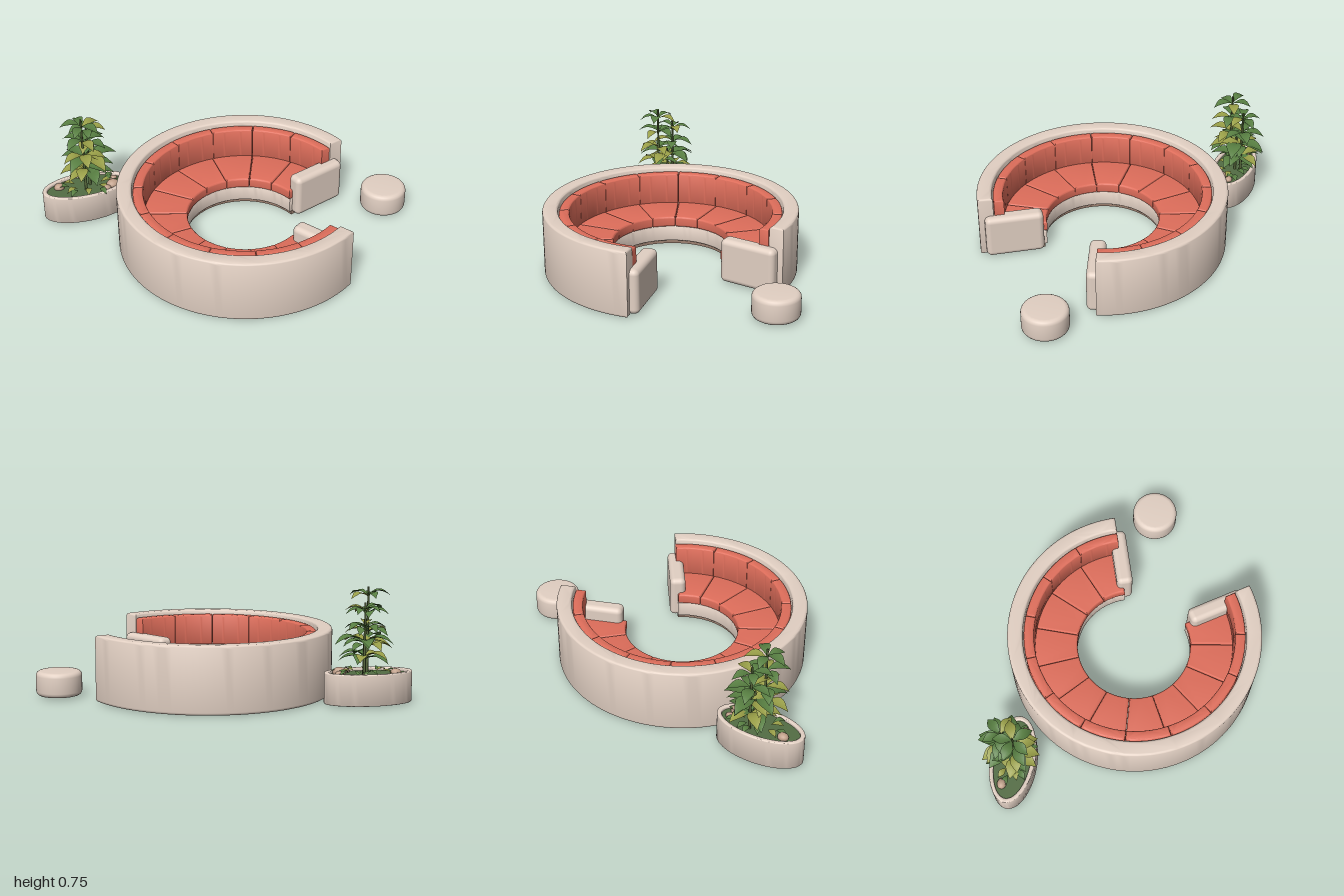
import * as THREE from 'three';
import { toCreasedNormals } from 'three/addons/utils/BufferGeometryUtils.js';
import { RoundedBoxGeometry } from 'three/addons/geometries/RoundedBoxGeometry.js';

const rad = THREE.MathUtils.degToRad;

function material(name, color, side = THREE.FrontSide) {
  const m = new THREE.MeshStandardMaterial({ color, side });
  m.name = name;
  return m;
}

// Plan outline (x, z) raised from y0 to y1 with rounded edges
function slab(shape, y0, y1, bevel, curveSegments = 12) {
  const g = new THREE.ExtrudeGeometry(shape, {
    depth: y1 - y0 - 2 * bevel, curveSegments, bevelEnabled: bevel > 0,
    bevelSize: bevel, bevelThickness: bevel, bevelOffset: -bevel, bevelSegments: 4,
  });
  g.rotateX(Math.PI / 2);
  g.translate(0, y1 - bevel, 0);
  return toCreasedNormals(g, 0.7);
}

// Ring sector; angles run from +x towards +z
function sector(r0, r1, a0, a1) {
  const s = new THREE.Shape();
  s.absarc(0, 0, r1, a0, a1, false);
  s.absarc(0, 0, r0, a1, a0, true);
  s.closePath();
  return s;
}

function ellipse(a, b, Kind = THREE.Shape) {
  const s = new Kind();
  s.absellipse(0, 0, a, b, 0, Math.PI * 2, false, 0);
  return s;
}

// Arched, broad, pointed leaf of unit length along +x with a creased midrib
function leafGeometry() {
  const pos = [], index = [], n = 8;
  for (let i = 0; i <= n; i++) {
    const u = i / n;
    const w = 0.25 * Math.pow(Math.sin(Math.PI * Math.pow(u, 1.1)), 1.2) + 0.015 * (1 - u);
    const y = 0.7 * u - 0.75 * u * u;
    pos.push(u, y + w * 0.3, -w, u, y, 0, u, y + w * 0.3, w);
    if (i < n) {
      for (let j = 0; j < 2; j++) {
        const a = i * 3 + j;
        index.push(a, a + 1, a + 3, a + 1, a + 4, a + 3);
      }
    }
  }
  const g = new THREE.BufferGeometry();
  g.setAttribute('position', new THREE.Float32BufferAttribute(pos, 3));
  g.setIndex(index);
  g.computeVertexNormals();
  return g;
}

export function createModel() {
  const model = new THREE.Group();
  const shell = material('warm beige', 0xe2d0c3);
  const coral = material('coral upholstery', 0xdf6e5b);
  const brown = material('brown plinth', 0x9c8070);
  const moss = material('moss green', 0x546e44);
  const stone = material('pebble tan', 0xc0a08a);
  const stemGreen = material('stem green', 0x55663a);
  const darkLeaf = material('dark leaf', 0x587f42, THREE.DoubleSide);
  const paleLeaf = material('olive leaf', 0x9aa048, THREE.DoubleSide);

  function add(parent, name, geometry, mat, x = 0, y = 0, z = 0) {
    const m = new THREE.Mesh(geometry, mat);
    m.name = name;
    m.position.set(x, y, z);
    parent.add(m);
    return m;
  }

  // Curved sofa, open towards the front left
  const sofa = new THREE.Group();
  sofa.name = 'sofa';
  sofa.position.set(-0.098, 0, 0.149);
  model.add(sofa);
  const start = rad(78), end = rad(362.6), count = 12;
  const step = (end - start) / count;
  add(sofa, 'backShell', slab(sector(0.735, 0.836, start, end), 0.004, 0.44, 0.018, 48), shell);
  add(sofa, 'seatBase', slab(sector(0.385, 0.74, start, end), 0.025, 0.132, 0.008, 48), shell);
  add(sofa, 'plinth', slab(sector(0.40, 0.745, start, end), 0, 0.03, 0, 48), brown);

  // Twelve seat and back cushions
  const half = step / 2;
  const seat = slab(sector(0.38, 0.728, -half + 0.003, half - 0.003), 0.13, 0.203, 0.014);
  const back = slab(sector(0.662, 0.729, -half + 0.002, half - 0.002), 0.195, 0.415, 0.014);
  for (let i = 0; i < count; i++) {
    const turn = -(start + step * (i + 0.5));
    add(sofa, 'seatCushion', seat, coral).rotation.y = turn;
    add(sofa, 'backCushion', back, coral).rotation.y = turn;
  }

  // Arm slabs closing both ends
  const arm = new RoundedBoxGeometry(0.39, 0.295, 0.108, 5, 0.035);
  for (const [name, a] of [['leftArm', rad(3.4)], ['frontArm', rad(78)]]) {
    add(sofa, name, arm, shell, 0.603 * Math.cos(a), 0.158, 0.603 * Math.sin(a)).rotation.y = -a;
  }

  // Round ottoman
  const drum = new THREE.Shape();
  drum.absarc(0, 0, 0.152, 0, Math.PI * 2, false);
  add(model, 'ottoman', slab(drum, 0.01, 0.172, 0.03, 28), shell, 0.847, 0, 0.499);

  // Oval planter
  const planter = new THREE.Group();
  planter.name = 'planter';
  planter.position.set(-0.721, 0, -0.787);
  planter.rotation.y = -rad(21);
  model.add(planter);
  const wall = ellipse(0.292, 0.146);
  wall.holes.push(ellipse(0.262, 0.118, THREE.Path));
  add(planter, 'planterWall', slab(wall, 0.01, 0.215, 0.008, 28), shell);
  add(planter, 'planterFloor', slab(ellipse(0.275, 0.13), 0.012, 0.1, 0, 28), shell);
  add(planter, 'mossBed', slab(ellipse(0.268, 0.124), 0.1, 0.196, 0, 28), moss);

  // Pebbles
  const pebble = new THREE.SphereGeometry(1, 16, 10);
  for (const [x, z, r] of [[0.18, 0.045, 0.045], [-0.17, -0.04, 0.036], [0.13, 0.08, 0.03], [0.2, -0.02, 0.028]]) {
    add(planter, 'pebble', pebble, stone, x, 0.205, z).scale.set(r, r * 0.75, r * 0.85);
  }

  // Plant: stems with rings of leaves, [height, leaf length] per ring
  const leaf = leafGeometry();
  const stems = [
    { x: -0.735, z: -0.755, top: 0.755, rings: [[0.69, 0.14], [0.58, 0.15], [0.46, 0.16], [0.36, 0.165]] },
    { x: -0.655, z: -0.825, top: 0.665, rings: [[0.61, 0.13], [0.5, 0.15], [0.4, 0.165], [0.31, 0.165]] },
    { x: -0.68, z: -0.79, top: 0.46, rings: [[0.4, 0.205], [0.29, 0.18]] },
  ];
  const plant = new THREE.Group();
  plant.name = 'plant';
  model.add(plant);
  stems.forEach(({ x, z, top, rings }, s) => {
    const h = top - 0.19;
    add(plant, 'stem', new THREE.CylinderGeometry(0.006, 0.01, h, 8), stemGreen, x, 0.19 + h / 2, z);
    rings.forEach(([y, length], r) => {
      for (let k = 0; k < 5; k++) {
        const pale = (k + r * 2 + s) % 5 < (r < 2 ? 1 : 3);
        const m = add(plant, 'leaf', leaf, pale ? paleLeaf : darkLeaf, x, y + 0.008 * (k % 3), z);
        m.rotation.y = k * Math.PI * 0.4 + r * 0.9 + s * 0.5;
        m.scale.setScalar(length * (1 - 0.08 * (k % 2)));
      }
    });
  });

  // Low ground leaves
  for (let k = 0; k < 14; k++) {
    const a = k * 2.4, d = 0.3 + 0.45 * ((k * 5) % 7) / 7;
    const m = add(planter, 'groundLeaf', leaf, k % 3 ? darkLeaf : paleLeaf,
      0.04 + 0.22 * d * Math.cos(a), 0.21, 0.11 * d * Math.sin(a));
    m.rotation.y = -a;
    m.scale.setScalar(0.08);
  }
  return model;
}
